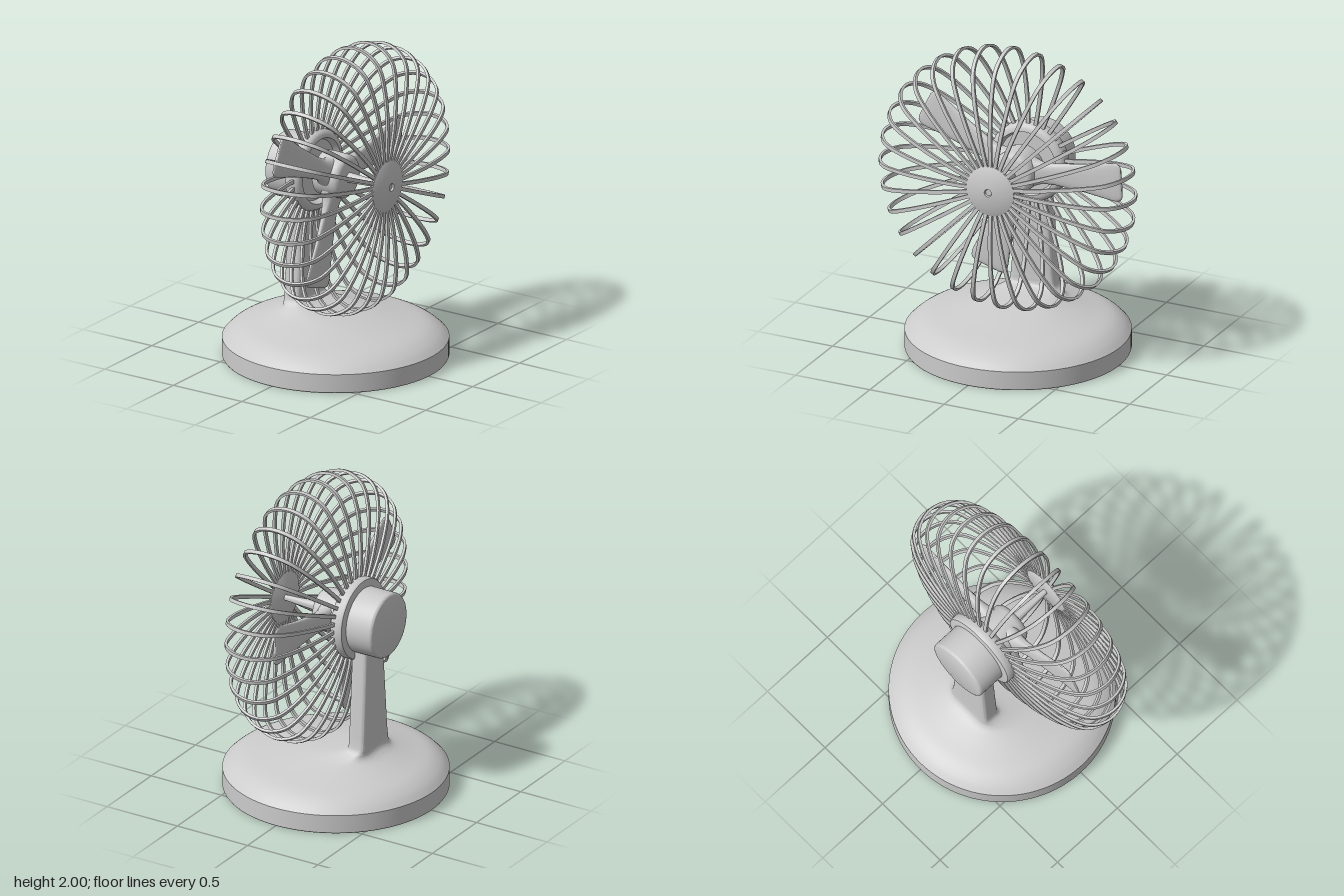
import * as THREE from 'three';
import { toCreasedNormals } from 'three/addons/utils/BufferGeometryUtils.js';

const AXIS_Y = 1.156;
const material = new THREE.MeshStandardMaterial({ color: 0xcccccc });

function mesh(name, geometry) {
  const m = new THREE.Mesh(geometry, material);
  m.name = name;
  return m;
}

// Capped loft through superellipse rings stacked along y.
// Row: { y, cx, rx, rz, n } where n = 1 is an ellipse and smaller n is boxier.
function loft(rows, sides, crease) {
  const pos = [], index = [];
  for (const { y, cx, rx, rz, n } of rows) {
    for (let i = 0; i < sides; i++) {
      const a = (i / sides) * Math.PI * 2, c = Math.cos(a), s = Math.sin(a);
      pos.push(cx + rx * Math.sign(c) * Math.abs(c) ** n, y, rz * Math.sign(s) * Math.abs(s) ** n);
    }
  }
  for (let j = 0; j < rows.length - 1; j++) {
    for (let i = 0; i < sides; i++) {
      const k = (i + 1) % sides, a = j * sides + i, b = j * sides + k;
      index.push(a, a + sides, b, b, a + sides, b + sides);
    }
  }
  const first = rows[0], last = rows[rows.length - 1], c0 = rows.length * sides, top = c0 - sides;
  pos.push(first.cx, first.y, 0, last.cx, last.y, 0);
  for (let i = 0; i < sides; i++) {
    const k = (i + 1) % sides;
    index.push(c0, i, k, c0 + 1, top + k, top + i);
  }
  const g = new THREE.BufferGeometry();
  g.setAttribute('position', new THREE.Float32BufferAttribute(pos, 3));
  g.setIndex(index);
  return toCreasedNormals(g, crease);
}

// Turned part around the fan axis; profile points are [x, radius] from back to front.
function turned(name, profile, crease = 0.6) {
  const g = new THREE.LatheGeometry(profile.map(([x, r]) => new THREE.Vector2(r, x)), 64);
  g.rotateZ(-Math.PI / 2);
  return mesh(name, toCreasedNormals(g, crease));
}

// Round base, slightly hollow underneath, that sweeps up into the narrow neck behind the fan.
function baseAndNeck() {
  // [height, back x, front x, half depth]
  const keys = [
    [0.12, -0.685, 0.685, 0.685], [0.165, -0.64, 0.63, 0.635], [0.205, -0.57, 0.54, 0.56],
    [0.24, -0.46, 0.37, 0.42], [0.275, -0.36, 0.18, 0.28], [0.3, -0.315, 0, 0.21],
    [0.322, -0.298, -0.12, 0.172], [0.345, -0.293, -0.162, 0.154], [0.385, -0.291, -0.167, 0.146],
    [0.44, -0.29, -0.168, 0.141],
  ];
  const [back, front, depth] = [1, 2, 3].map(
    k => new THREE.SplineCurve(keys.map(p => new THREE.Vector2(p[k], p[0]))));
  const row = (y, b, f, rz, n) => ({ y, cx: (b + f) / 2, rx: (f - b) / 2, rz, n });
  const rows = [];
  // Shallow underside dome from the centre out to the rim
  for (let i = 1; i <= 14; i++) {
    const t = i / 14, r = 0.675 * t;
    rows.push(row(0.09 * (1 - t * t), -r, r, r, 1));
  }
  rows.push(row(0, -0.68, 0.68, 0.68, 1), row(0.008, -0.685, 0.685, 0.685, 1));
  const steps = 45;
  for (let i = 0; i <= steps; i++) {
    const t = i / steps, b = back.getPoint(t);
    const n = 1 - 0.65 * THREE.MathUtils.smoothstep(t, 0.35, 0.85);
    rows.push(row(b.y, b.x, front.getPoint(t).x, depth.getPoint(t).x, n));
  }
  rows.push(row(1.0, -0.283, -0.168, 0.1, 0.35));
  return mesh('baseAndNeck', loft(rows, 96, 0.5));
}

// Paddle blade, thick at the hub and thin and wide at the tip.
function blade(angle) {
  const rows = [
    [0.08, 0.06, 0.1], [0.13, 0.052, 0.08], [0.17, 0.04, 0.067], [0.25, 0.026, 0.068],
    [0.45, 0.019, 0.092], [0.62, 0.015, 0.122], [0.65, 0.014, 0.125], [0.675, 0.012, 0.121],
    [0.69, 0.01, 0.11], [0.698, 0.006, 0.092],
  ].map(([y, rx, rz]) => ({ y, cx: 0, rx, rz, n: 0.75 }));
  const m = mesh('blade', loft(rows, 32, 1.3));
  m.rotation.x = THREE.MathUtils.degToRad(angle - 90);
  return m;
}

// Cage of flat bent wires repeated around the axis.
function cage() {
  const group = new THREE.Group();
  group.name = 'cage';
  const path = new THREE.CatmullRomCurve3([
    [-0.142, 0.2], [-0.133, 0.35], [-0.108, 0.52], [-0.063, 0.68], [0.005, 0.79], [0.115, 0.836],
    [0.228, 0.816], [0.315, 0.745], [0.36, 0.6], [0.379, 0.4], [0.378, 0.25], [0.368, 0.12],
  ].map(([x, r]) => new THREE.Vector3(x, r, 0)));
  const w = 0.0115, h = 0.008;
  const section = new THREE.Shape([[-w, -h], [w, -h], [w, h], [-w, h]].map(p => new THREE.Vector2(...p)));
  const wire = toCreasedNormals(
    new THREE.ExtrudeGeometry(section, { steps: 56, extrudePath: path, bevelEnabled: false }), 0.6);
  const count = 32;
  for (let i = 0; i < count; i++) {
    const m = mesh('cageWire', wire);
    m.rotation.x = (i / count) * Math.PI * 2;
    group.add(m);
  }
  return group;
}

export function createModel() {
  const model = new THREE.Group();
  model.name = 'deskFan';
  model.add(baseAndNeck());

  const head = new THREE.Group();
  head.name = 'fanHead';
  head.position.y = AXIS_Y;
  model.add(head);

  head.add(turned('motorHousing', [
    [-0.38, 0], [-0.38, 0.19], [-0.377, 0.198], [-0.37, 0.203], [-0.36, 0.205], [-0.19, 0.205], [-0.19, 0],
  ]));
  // Flange with a recessed front that carries the wires
  head.add(turned('cageFlange', [
    [-0.2, 0], [-0.2, 0.235], [-0.195, 0.25], [-0.185, 0.256], [-0.15, 0.256], [-0.13, 0.252],
    [-0.112, 0.242], [-0.102, 0.225], [-0.1, 0.205], [-0.14, 0.19], [-0.14, 0.07], [-0.08, 0.07], [-0.08, 0],
  ]));
  head.add(turned('hub', [
    [-0.09, 0], [-0.09, 0.122], [-0.08, 0.135], [-0.05, 0.139], [0.06, 0.136], [0.08, 0.132],
    [0.094, 0.12], [0.1, 0.104], [0.1, 0],
  ]));
  head.add(turned('shaft', [[0.09, 0], [0.09, 0.032], [0.37, 0.017], [0.37, 0]]));
  // Domed front cap with a small centre dimple
  head.add(turned('frontCap', [
    [0.358, 0], [0.358, 0.154], [0.362, 0.16], [0.38, 0.16], [0.391, 0.132], [0.401, 0.09],
    [0.408, 0.045], [0.41, 0.024], [0.398, 0.02], [0.398, 0],
  ]));

  for (const angle of [3.5, 154, 253]) head.add(blade(angle));
  head.add(cage());
  return model;
}
